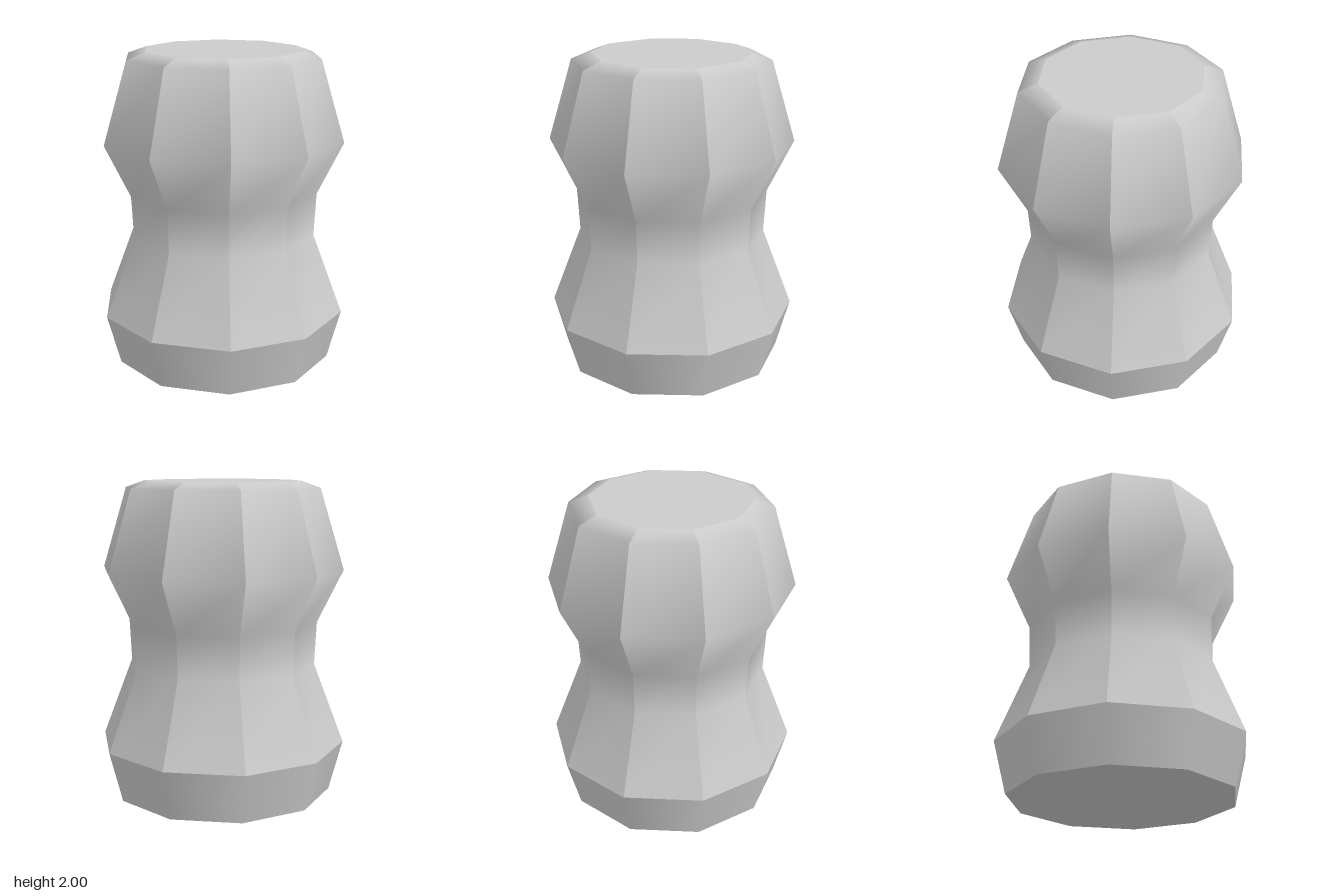
import * as THREE from 'three';
import { mergeGeometries } from 'three/addons/utils/BufferGeometryUtils.js';

const SIDES = 10;
const HALF = Math.PI / SIDES;
// [radius at the corners, height], top to bottom
const BODY = [[0.5, 2], [0.62, 1.957], [0.775, 1.447], [0.613, 1.11], [0.6, 0.835], [0.795, 0.325]];
const BASE = [[0.71, 0], [0.795, 0.325]];

// One vertical panel: smooth along its height, with hard sides
function panel(profile) {
  const g = new THREE.PlaneGeometry(1, 1, 1, profile.length - 1);
  const p = g.attributes.position;
  for (let i = 0; i < p.count; i++) {
    const [r, y] = profile[Math.floor(i / 2)];
    p.setXYZ(i, Math.sign(p.getX(i)) * r * Math.sin(HALF), y, r * Math.cos(HALF));
  }
  g.computeVertexNormals();
  return g;
}

export function createModel() {
  const group = new THREE.Group();
  const material = new THREE.MeshStandardMaterial({ color: 0xcccccc });
  const add = (name, geometry) => {
    const mesh = new THREE.Mesh(geometry, material);
    mesh.name = name;
    group.add(mesh);
    return mesh;
  };

  // Waisted body made of ten repeated panels
  const panels = [];
  for (let i = 0; i < SIDES; i++) panels.push(panel(BODY).rotateY(i * 2 * HALF));
  add('body', mergeGeometries(panels));

  // Smooth flared base band
  const points = BASE.map(([r, y]) => new THREE.Vector2(r, y));
  add('baseBand', new THREE.LatheGeometry(points, SIDES, Math.PI / 2));

  // Flat ends
  add('topCap', new THREE.CircleGeometry(BODY[0][0], SIDES).rotateX(-Math.PI / 2)).position.y = 2;
  add('bottomCap', new THREE.CircleGeometry(BASE[0][0], SIDES).rotateX(Math.PI / 2));

  return group;
}
